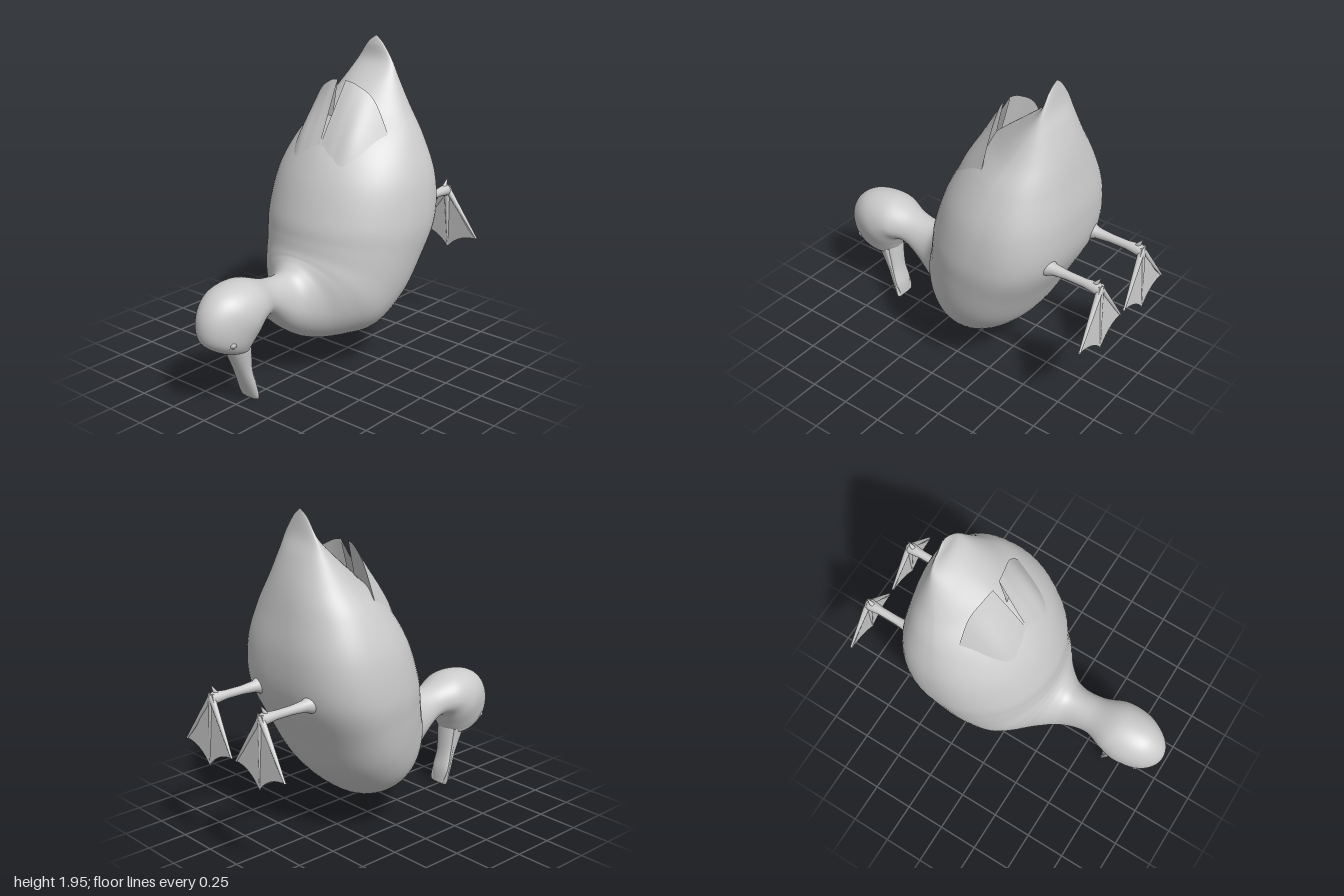
import * as THREE from 'three';

const grey = new THREE.MeshStandardMaterial({ color: 0xcccccc });
const greyDouble = new THREE.MeshStandardMaterial({ color: 0xcccccc, side: THREE.DoubleSide });
const V = (x, y, z) => new THREE.Vector3(x, y, z);
const spline = points => new THREE.CatmullRomCurve3(points, false, 'catmullrom');
const bump = (u, centre, width) => Math.exp(-(((u - centre) / width) ** 2));

function add(parent, name, geometry, material = grey) {
  const mesh = new THREE.Mesh(geometry, material);
  mesh.name = name;
  parent.add(mesh);
  return mesh;
}

// Surface from a rule point(u, v); columns can wrap around
function surface(rows, cols, wrap, point) {
  const pos = [], idx = [];
  const n = wrap ? cols : cols + 1;
  for (let i = 0; i <= rows; i++)
    for (let j = 0; j < n; j++) pos.push(...point(i / rows, j / cols));
  for (let i = 0; i < rows; i++)
    for (let j = 0; j < cols; j++) {
      const k = (j + 1) % n;
      const a = i * n + j, b = i * n + k, c = a + n, d = (i + 1) * n + k;
      idx.push(a, c, b, b, c, d);
    }
  const g = new THREE.BufferGeometry();
  g.setAttribute('position', new THREE.Float32BufferAttribute(pos, 3));
  g.setIndex(idx);
  g.computeVertexNormals();
  return g;
}

// Loft through slices [back z, back y, belly z, belly y, half width];
// mid places the widest point, roundness(u) gives the back and belly exponents
function loft(slices, rows, cols, mid, roundness = () => [2, 2]) {
  const back = spline(slices.map(s => V(0, s[1], s[0])));
  const belly = spline(slices.map(s => V(0, s[3], s[2])));
  const width = spline(slices.map(s => V(s[4], 0, 0)));
  return surface(rows, cols, true, (u, v) => {
    const a = v * Math.PI * 2, c = Math.cos(a), s = Math.sin(a);
    const e = 2 / roundness(u)[c > 0 ? 0 : 1];
    const x = width.getPoint(u).x * Math.sign(s) * Math.abs(s) ** e;
    const r = Math.abs(c) ** e;
    const p = back.getPoint(u).lerp(belly.getPoint(u), c > 0 ? mid * (1 - r) : mid + (1 - mid) * r);
    return [x, p.y, p.z];
  });
}

// Tapered round bar between two points
function bar(parent, name, a, b, ra, rb) {
  const mesh = add(parent, name, new THREE.CylinderGeometry(rb, ra, a.distanceTo(b), 12));
  mesh.position.copy(a).lerp(b, 0.5);
  mesh.quaternion.setFromUnitVectors(V(0, 1, 0), b.clone().sub(a).normalize());
}

// Wing tip: flap lifted off the rump
function addWing(parent) {
  const base = spline([V(0, 1.15, 0.13), V(0.1, 1.15, 0.12), V(0.22, 1.15, 0.07), V(0.38, 1.15, -0.1)]);
  const middle = spline([V(0.005, 1.42, -0.005), V(0.1, 1.42, -0.012), V(0.21, 1.4, -0.045), V(0.35, 1.27, -0.16)]);
  const edge = spline([V(0.03, 1.73, -0.175), V(0.1, 1.71, -0.19), V(0.21, 1.625, -0.22), V(0.33, 1.39, -0.23)]);
  const root = spline([V(0.02, 1.42, -0.1), V(0.1, 1.4, -0.12), V(0.2, 1.36, -0.14), V(0.31, 1.27, -0.22)]);
  add(parent, 'wing', surface(14, 20, false, (u, v) =>
    spline([base, middle, edge].map(c => c.getPoint(v))).getPoint(u).toArray()), greyDouble);
  add(parent, 'wingUnderside', surface(6, 20, false, (u, v) =>
    edge.getPoint(v).lerp(root.getPoint(v), u).toArray()), greyDouble);
}

// Leg, toes, web and hind claw of one side
function addLeg(parent) {
  const profile = [[0.06, 0.58], [0.05, 0.635], [0.034, 0.67], [0.026, 0.76], [0.026, 0.87], [0.036, 0.95], [0.02, 0.98], [0, 0.985]];
  const leg = add(parent, 'leg', new THREE.LatheGeometry(profile.map(([r, y]) => new THREE.Vector2(r, y)), 20), greyDouble);
  leg.rotation.x = -Math.PI / 2;
  leg.position.set(0.22, 0.92, 0);

  const heel = V(0.22, 0.93, -0.965);
  for (const [x, y] of [[0.02, 0.63], [0.225, 0.53], [0.44, 0.63]])
    bar(parent, 'toe', heel, V(x, y, -0.99), 0.02, 0.006);

  const web = new THREE.Shape();
  web.moveTo(0.2, 0.95);
  web.quadraticCurveTo(0.13, 0.74, 0.02, 0.63);
  web.quadraticCurveTo(0.14, 0.63, 0.225, 0.53);
  web.quadraticCurveTo(0.31, 0.63, 0.44, 0.63);
  web.quadraticCurveTo(0.31, 0.74, 0.24, 0.95);
  const foot = new THREE.ExtrudeGeometry(web, { depth: 0.01, bevelEnabled: false, curveSegments: 10 });
  // Lean the web towards the heel
  const p = foot.attributes.position;
  for (let i = 0; i < p.count; i++) p.setZ(i, p.getZ(i) - 0.995 + (p.getY(i) - 0.53) * 0.05);
  foot.computeVertexNormals();
  add(parent, 'webbedFoot', foot);
  bar(parent, 'hindClaw', V(0.22, 0.935, -0.93), V(0.22, 0.995, -0.965), 0.018, 0.002);
}

export function createModel() {
  const duck = new THREE.Group();
  duck.name = 'duck';

  // Tail, torso, neck and head as one continuous skin, slices fan around the nape
  const tail = [
    [-0.49, 1.945, -0.495, 1.947, 0.004],
    [-0.475, 1.9, -0.502, 1.9, 0.06],
    [-0.45, 1.8, -0.522, 1.8, 0.13],
    [-0.33, 1.69, -0.565, 1.7, 0.19],
  ];
  const torso = [
    [-0.16, 1.55, -0.612, 1.55, 0.28],
    [0, 1.4, -0.645, 1.38, 0.39],
    [0.12, 1.2, -0.675, 1.15, 0.48],
    [0.2, 0.97, -0.655, 0.9, 0.51],
    [0.22, 0.85, -0.55, 0.66, 0.49],
    [0.23, 0.79, -0.41, 0.4, 0.455],
    [0.24, 0.76, -0.2, 0.213, 0.4],
    [0.25, 0.74, 0, 0.198, 0.32],
  ];
  const neck = [
    [0.28, 0.712, 0.18, 0.232, 0.215],
    [0.35, 0.68, 0.35, 0.335, 0.136],
    [0.5, 0.692, 0.515, 0.475, 0.12],
  ];
  const head = [
    [0.69, 0.753, 0.595, 0.488, 0.164],
    [0.88, 0.725, 0.635, 0.43, 0.177],
    [0.985, 0.61, 0.655, 0.387, 0.157],
    [0.985, 0.46, 0.667, 0.366, 0.13],
    [0.87, 0.365, 0.68, 0.35, 0.093],
    [0.76, 0.34, 0.73, 0.345, 0.005],
  ];
  add(duck, 'body', loft([...tail, ...torso, ...neck, ...head], 160, 64, 0.55,
    u => [2 - 0.4 * bump(u, 0.21, 0.06), 2 + 0.7 * bump(u, 0.33, 0.12)]));

  // Bill in two halves that meet along the mouth line
  add(duck, 'upperBill', loft([
    [0.82, 0.38, 0.68, 0.39, 0.09],
    [0.742, 0.22, 0.668, 0.22, 0.07],
    [0.69, 0.1, 0.64, 0.1, 0.073],
    [0.655, 0.02, 0.626, 0.02, 0.07],
    [0.638, 0, 0.632, 0, 0.04],
  ], 40, 28, 0.8, () => [2.3, 2]));
  add(duck, 'lowerBill', loft([
    [0.72, 0.39, 0.66, 0.4, 0.075],
    [0.69, 0.22, 0.648, 0.22, 0.06],
    [0.65, 0.1, 0.625, 0.1, 0.064],
    [0.63, 0.014, 0.62, 0.014, 0.04],
  ], 32, 24, 0.3));

  // Paired parts, mirrored across x
  for (const side of [1, -1]) {
    const half = new THREE.Group();
    half.name = side > 0 ? 'leftSide' : 'rightSide';
    half.scale.x = side;
    addWing(half);
    add(half, 'eye', new THREE.SphereGeometry(0.024, 20, 14)).position.set(0.112, 0.452, 0.875);
    const lid = add(half, 'eyelid', new THREE.TorusGeometry(0.023, 0.006, 8, 24));
    lid.position.set(0.119, 0.452, 0.878);
    lid.rotation.y = 1.15;
    addLeg(half);
    duck.add(half);
  }
  return duck;
}
